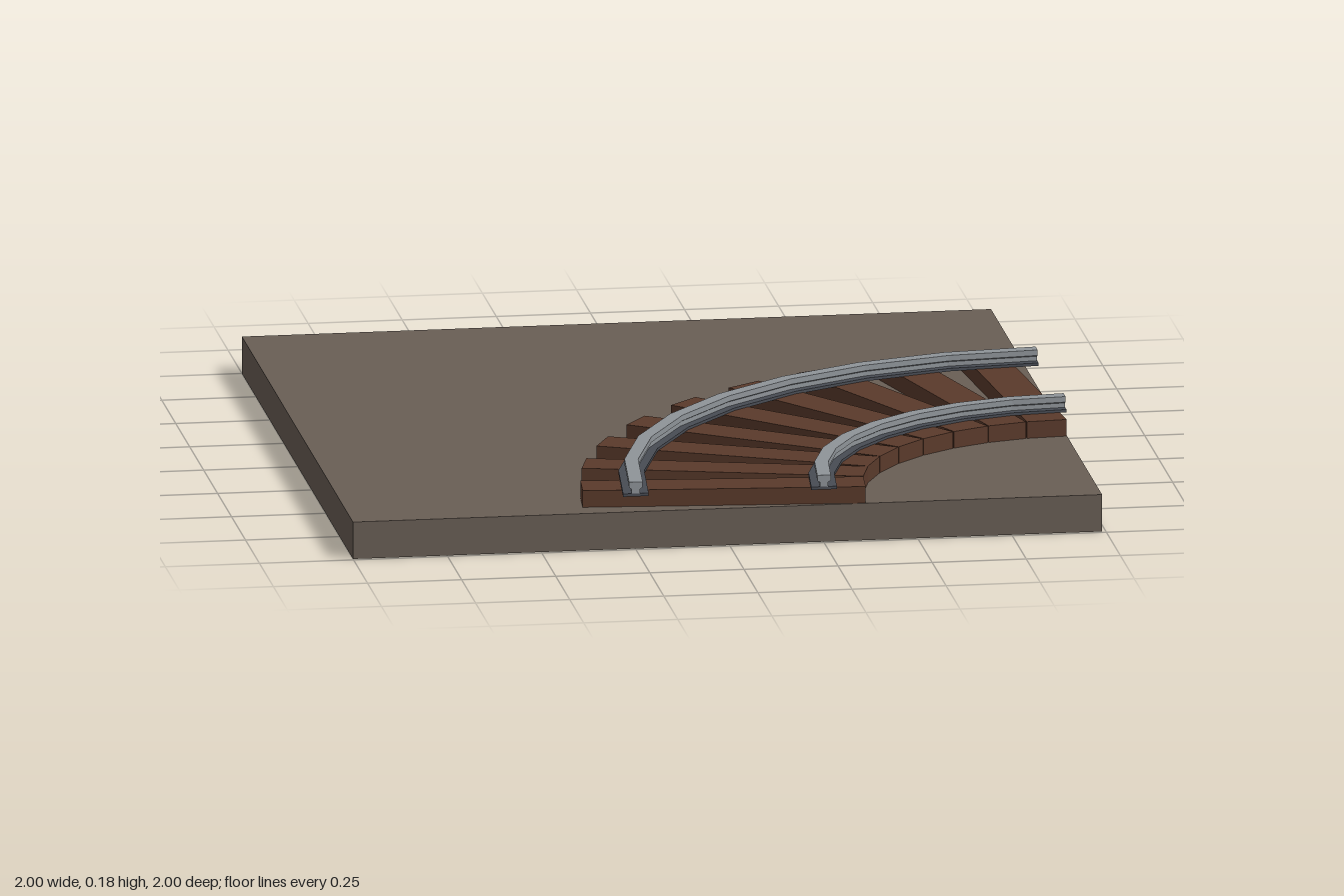
import * as THREE from 'three';

const material = (name, color) => {
  const m = new THREE.MeshStandardMaterial({ color, flatShading: true });
  m.name = name;
  return m;
};

export function createModel() {
  const ground = material('gravel brown', 0x695e55);
  const wood = material('sleeper wood', 0x5a3a2b);
  const steel = material('rail steel', 0x8f9499);
  const darkSteel = material('dark rail foot', 0x484c54);

  const model = new THREE.Group();
  model.name = 'curvedTrackTile';

  const add = (parent, name, geometry, mat) => {
    const mesh = new THREE.Mesh(geometry, mat);
    mesh.name = name;
    parent.add(mesh);
    return mesh;
  };

  // Square ground slab
  add(model, 'groundSlab', new THREE.BoxGeometry(1.99, 0.1, 1.99), ground).position.set(-0.005, 0.05, -0.005);

  // Nine sleepers fanned around the corner
  const sleepers = new THREE.Group();
  sleepers.name = 'sleepers';
  sleepers.position.set(0.99, 0, 0.99);
  model.add(sleepers);
  const plank = new THREE.BoxGeometry(0.745, 0.045, 0.107).translate(-0.998, 0.1225, 0);
  for (let i = 0; i < 9; i++) {
    add(sleepers, 'sleeper', plank, wood).rotation.y = -THREE.MathUtils.degToRad(5 + i * 10);
  }

  // Sweeps a closed profile (counter-clockwise: radius, height) through a quarter turn and caps both ends
  const sweep = (parent, name, profile, mat) => {
    const points = [...profile, profile[0]].map(([r, y]) => new THREE.Vector2(r, y));
    add(parent, name, new THREE.LatheGeometry(points, 8, Math.PI, Math.PI / 2), mat);
    const cap = (sign) => new THREE.ShapeGeometry(
      new THREE.Shape(profile.map(([r, y]) => new THREE.Vector2(sign * r, y))));
    add(parent, name + 'FrontEnd', cap(-1), mat);
    add(parent, name + 'SideEnd', cap(1).rotateY(Math.PI / 2), mat);
  };

  // Two rails, each with a wide foot and a narrow web carrying the head
  for (const [name, r] of [['outerRail', 1.25], ['innerRail', 0.75]]) {
    const rail = new THREE.Group();
    rail.name = name;
    rail.position.set(1, 0, 1);
    model.add(rail);
    sweep(rail, 'foot', [
      [r - 0.034, 0.144], [r + 0.034, 0.144], [r + 0.034, 0.152], [r - 0.034, 0.152],
    ], darkSteel);
    sweep(rail, 'webAndHead', [
      [r - 0.011, 0.151], [r + 0.011, 0.151], [r + 0.011, 0.164], [r + 0.018, 0.168],
      [r + 0.018, 0.183], [r - 0.018, 0.183], [r - 0.018, 0.168], [r - 0.011, 0.164],
    ], steel);
  }

  return model;
}
